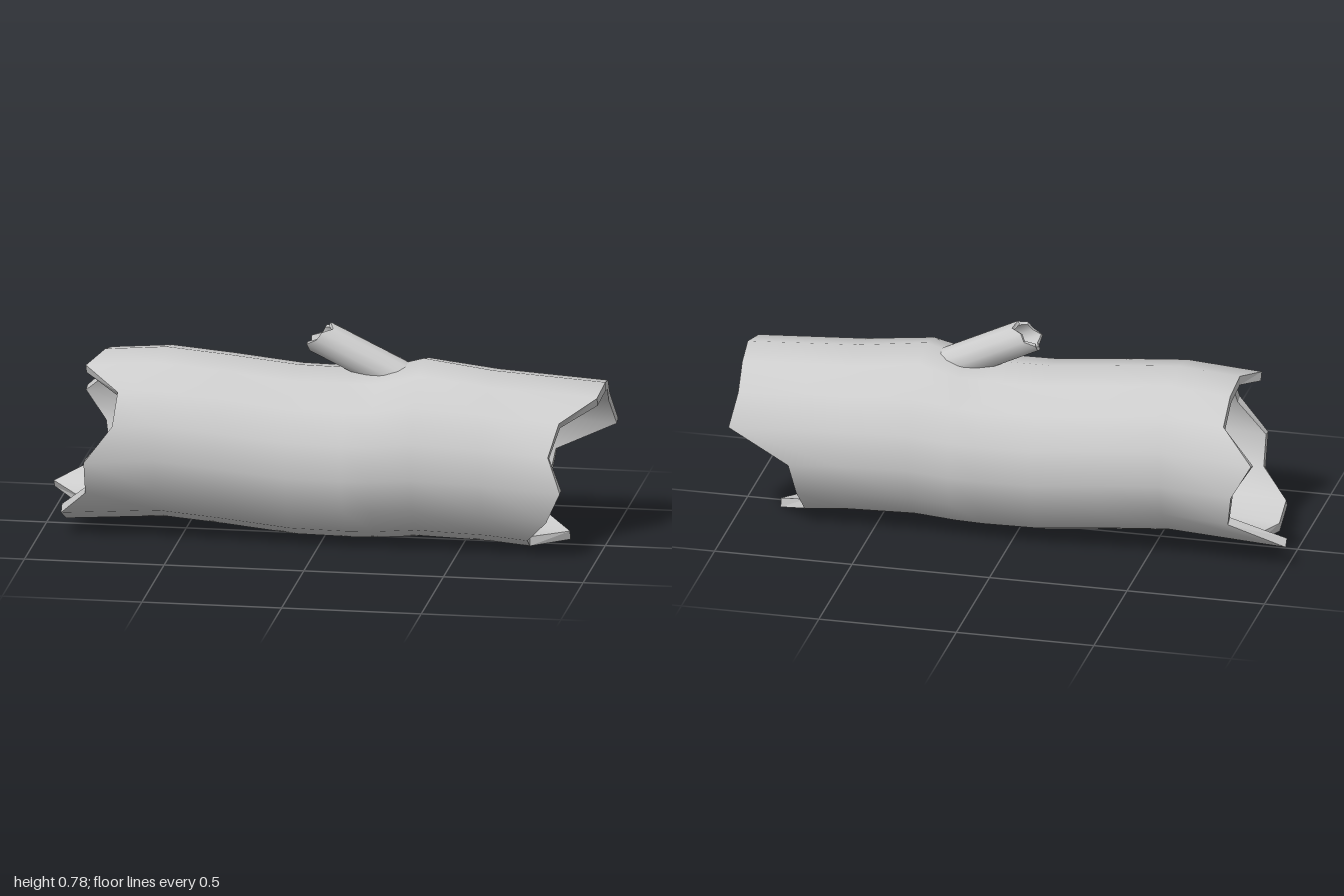
import * as THREE from 'three';

const material = new THREE.MeshStandardMaterial({ color: 0xcccccc });

// Straight-line interpolation through [x, y] pairs, extended past both ends
function follow(points, x) {
  let i = 0;
  while (i < points.length - 2 && x > points[i + 1][0]) i++;
  const [[x0, y0], [x1, y1]] = [points[i], points[i + 1]];
  return y0 + (y1 - y0) * (x - x0) / (x1 - x0);
}

// Joins closed rings of points into a skin
function skin(rings, flat) {
  const n = rings[0].length;
  const index = [];
  for (let r = 0; r < rings.length - 1; r++) {
    for (let i = 0; i < n; i++) {
      const j = (i + 1) % n;
      const a = r * n, b = a + n;
      index.push(a + i, a + j, b + j, a + i, b + j, b + i);
    }
  }
  let geometry = new THREE.BufferGeometry();
  geometry.setAttribute('position', new THREE.Float32BufferAttribute(rings.flat(2), 3));
  geometry.setIndex(index);
  if (flat) geometry = geometry.toNonIndexed();
  geometry.computeVertexNormals();
  return geometry;
}

// Hollow tube along x whose ends are cut at a different x for every side
function hollowTube(name, { startCut, stations, endCut, outer, inner, centre, bump }) {
  const n = startCut.length;
  const ring = (radius, xs) => Array.from({ length: n }, (_, i) => {
    const angle = (i / n) * Math.PI * 2;
    const x = Array.isArray(xs) ? xs[i] : xs;
    const lift = bump(x) * Math.max(0, Math.cos(angle)) ** 2;
    return [x, centre(x) + radius * Math.cos(angle) + lift, radius * Math.sin(angle)];
  });
  const cuts = [startCut, ...stations, endCut];
  const outside = cuts.map((xs) => ring(outer, xs));
  const inside = cuts.map((xs) => ring(inner, xs)).reverse();
  const group = new THREE.Group();
  group.name = name;
  const add = (part, rings, flat) => {
    const mesh = new THREE.Mesh(skin(rings, flat), material);
    mesh.name = part;
    group.add(mesh);
  };
  add(name + 'Bark', outside, false);
  add(name + 'EndRim', [outside[outside.length - 1], inside[0]], true);
  add(name + 'Hollow', inside, false);
  add(name + 'StartRim', [inside[inside.length - 1], outside[0]], true);
  return group;
}

export function createModel() {
  const model = new THREE.Group();
  model.name = 'hollowLog';

  // Gently wavy trunk, 15 sides, counted from the top towards the front
  const wave = [
    [-1, 0.336], [-0.79, 0.346], [-0.57, 0.363], [-0.35, 0.344], [-0.1, 0.318],
    [0.1, 0.315], [0.2, 0.318], [0.35, 0.33], [0.6, 0.322], [0.75, 0.308], [1, 0.3],
  ];
  const swelling = [[-1, 0], [0.2, 0], [0.35, 0.03], [0.6, 0.004], [0.75, 0], [1, 0]];
  model.add(hollowTube('trunk', {
    startCut: [-0.79, -0.84, -0.71, -0.72, -0.82, -0.82, -0.92, -0.92,
      -0.87, -1, -0.81, -0.83, -0.9, -0.785, -0.785],
    stations: [-0.57, -0.35, -0.1, 0.1, 0.2, 0.35, 0.6],
    endCut: [1, 0.99, 0.87, 0.84, 0.885, 0.83, 0.75, 0.74,
      0.865, 0.75, 0.76, 0.78, 1, 0.98, 0.99],
    outer: 0.305,
    inner: 0.272,
    centre: (x) => follow(wave, x),
    bump: (x) => follow(swelling, x),
  }));

  // Broken, hollow branch stub leaning out of the top
  const length = 0.355;
  const branch = hollowTube('branch', {
    startCut: [0.01, 0.03, 0, -0.005, -0.03, -0.01, -0.017, -0.02, -0.03, 0, 0, 0.03],
    stations: [0.12, 0.24],
    endCut: Array(12).fill(length),
    outer: 0.064,
    inner: 0.05,
    centre: () => 0,
    bump: () => 0,
  });
  const floor = new THREE.Mesh(
    new THREE.CircleGeometry(0.05, 12),
    new THREE.MeshStandardMaterial({ color: 0xcccccc, side: THREE.DoubleSide }),
  );
  floor.name = 'branchFloor';
  floor.rotation.y = Math.PI / 2;
  floor.position.x = length;
  branch.add(floor);
  branch.position.set(-0.02, 0.73, 0);
  branch.rotation.z = -0.45;
  model.add(branch);

  return model;
}
